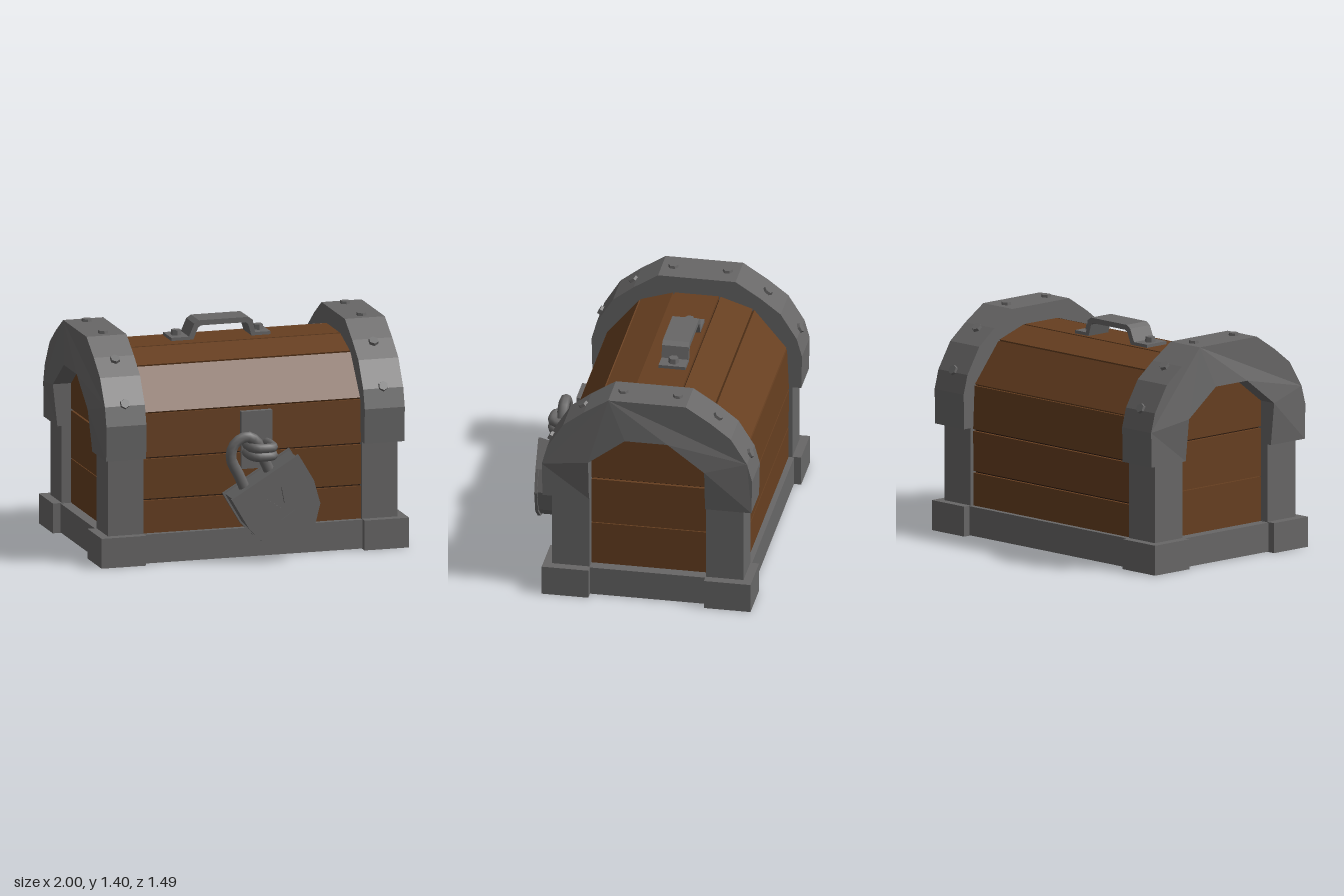
import * as THREE from 'three';

const metal = new THREE.MeshStandardMaterial({ color: 0x686767 });
const wood = new THREE.MeshStandardMaterial({ color: 0x673f20 });
const darkWood = new THREE.MeshStandardMaterial({ color: 0x2c190b });
metal.name = 'iron';
wood.name = 'wood';
darkWood.name = 'dark wood seams';

const CENTER_Z = -0.08;

function add(parent, name, geometry, material) {
  const mesh = new THREE.Mesh(geometry, material);
  mesh.name = name;
  parent.add(mesh);
  return mesh;
}

// Box given by its minimum and maximum corners
function box(parent, name, material, [x0, y0, z0], [x1, y1, z1]) {
  const g = new THREE.BoxGeometry(x1 - x0, y1 - y0, z1 - z0);
  g.translate((x0 + x1) / 2, (y0 + y1) / 2, (z0 + z1) / 2);
  return add(parent, name, g, material);
}

const toShape = pts => new THREE.Shape(pts.map(p => new THREE.Vector2(...p)));

function extrude(shape, depth, offset) {
  const g = new THREE.ExtrudeGeometry(shape, { depth, bevelEnabled: false });
  return g.translate(0, 0, offset);
}

// Depth/height outline swept along x
const sweepX = (pts, x0, x1) => extrude(toShape(pts), x1 - x0, x0).rotateY(Math.PI / 2);

const mirrored = half => [...half, ...half.map(([u, y]) => [-u, y]).reverse()];

// Six-sided bolt head standing along a direction
function bolt(parent, position, direction, radius = 0.036, height = 0.045) {
  const mesh = add(parent, 'bolt', new THREE.CylinderGeometry(radius * 0.85, radius, height, 6).toNonIndexed(), metal);
  mesh.geometry.computeVertexNormals();
  mesh.position.set(...position);
  mesh.quaternion.setFromUnitVectors(new THREE.Vector3(0, 1, 0), new THREE.Vector3(...direction).normalize());
}

function tube(parent, name, points, radius, segments) {
  const curve = new THREE.CatmullRomCurve3(points.map(p => new THREE.Vector3(...p)));
  add(parent, name, new THREE.TubeGeometry(curve, segments, radius, 8), metal);
}

// Wooden planks around the body and the rounded lid
function buildWood(chest) {
  const half = [[0.58, 0.17], [0.58, 0.4], [0.583, 0.665], [0.57, 0.95], [0.36, 1.205], [0.145, 1.275]];
  const core = half.map(([u, y]) => [u - 0.02, y > 1 ? y - 0.02 : y]);
  add(chest, 'core', sweepX(mirrored(core), -0.86, 0.86), darkWood);

  const outline = mirrored(half);
  for (let i = 0; i < outline.length - 1; i++) {
    const a = new THREE.Vector2(...outline[i]);
    const b = new THREE.Vector2(...outline[i + 1]);
    const along = b.clone().sub(a).normalize();
    const inward = new THREE.Vector2(-along.y, along.x).multiplyScalar(0.03);
    a.addScaledVector(along, 0.006);
    b.addScaledVector(along, -0.006);
    const pts = [a, b, b.clone().add(inward), a.clone().add(inward)].map(p => [p.x, p.y]);
    add(chest, 'plank', sweepX(pts, -0.8, 0.8), wood);
  }
}

// One end of the chest, facing +x
function buildEnd(chest, angle) {
  const end = new THREE.Group();
  end.name = 'chestEnd';
  end.rotation.y = angle;
  chest.add(end);

  // Arched iron band, its opening pushed slightly outward
  const outer = [[0.66, 0.68], [0.665, 0.9], [0.632, 1.02], [0.53, 1.185], [0.4, 1.285], [0.245, 1.385]];
  const inner = [[0.367, 0.68], [0.367, 0.95], [0.135, 1.125]];
  const arch = sweepX([...mirrored(outer), ...mirrored(inner).reverse()], 0.71, 0.97);
  const p = arch.attributes.position;
  for (let i = 0; i < p.count; i++) {
    if (p.getX(i) > 0.9 && Math.abs(p.getZ(i)) < 0.38 && p.getY(i) > 0.9 && p.getY(i) < 1.2) p.setX(i, 1);
  }
  arch.computeVertexNormals();
  add(end, 'lidBand', arch, metal);

  // Corner posts and boots, with bolts on the band
  for (const s of [-1, 1]) {
    const span = (a, b) => [Math.min(s * a, s * b), Math.max(s * a, s * b)];
    const [p0, p1] = span(0.367, 0.605);
    box(end, 'cornerPost', metal, [0.71, 0.15, p0], [0.942, 0.7, p1]);
    const [b0, b1] = span(0.365, 0.66);
    box(end, 'cornerBoot', metal, [0.71, 0, b0], [1, 0.19, b1]);
    bolt(end, [0.84, 1.028, s * 0.62], [0, 0.55, s]);
    bolt(end, [0.84, 1.265, s * 0.42], [0, 1, s * 0.7]);
    bolt(end, [0.84, 1.38, s * 0.172], [0, 1, 0]);
  }

  // End planks
  for (const [y0, y1] of [[0.17, 0.468], [0.473, 0.775], [0.787, 1.17]]) {
    box(end, 'endPlank', wood, [0.84, y0, -0.4], [0.88, y1, 0.4]);
  }
}

function buildHandle(chest) {
  const handle = new THREE.Group();
  handle.name = 'handle';
  handle.position.z = -0.03;
  chest.add(handle);
  const profile = [
    [-0.36, 1.265], [-0.36, 1.295], [-0.245, 1.295], [-0.21, 1.375], [-0.18, 1.395], [0.14, 1.395],
    [0.17, 1.375], [0.185, 1.295], [0.285, 1.295], [0.285, 1.265], [0.165, 1.265], [0.14, 1.35],
    [0.125, 1.362], [-0.165, 1.362], [-0.185, 1.35], [-0.22, 1.265],
  ];
  add(handle, 'grip', extrude(toShape(profile), 0.17, -0.085), metal);
  for (const x of [-0.303, 0.23]) bolt(handle, [x, 1.305, 0], [0, 1, 0]);
}

function buildLock(group) {
  const lock = new THREE.Group();
  lock.name = 'padlock';
  group.add(lock);

  // Hasp plate and staple loops
  box(lock, 'haspPlate', metal, [-0.073, 0.56, 0.48], [0.127, 0.925, 0.525]);
  for (const y of [0.72, 0.668]) {
    tube(lock, 'staple', [
      [-0.04, y, 0.49], [-0.045, y, 0.6], [-0.035, y, 0.675], [0.025, y, 0.69],
      [0.085, y, 0.675], [0.095, y, 0.6], [0.09, y, 0.49],
    ], 0.03, 18);
  }
  tube(lock, 'shackle', [
    [-0.08, 0.45, 0.635], [-0.125, 0.55, 0.635], [-0.175, 0.66, 0.635], [-0.155, 0.745, 0.635],
    [-0.075, 0.79, 0.635], [-0.01, 0.755, 0.635], [0.03, 0.66, 0.635], [0.08, 0.55, 0.635],
  ], 0.035, 20);

  // Shield-shaped case: inset middle between two cover plates
  const pts = [
    [-0.205, 0.42], [-0.09, 0.225], [-0.01, 0.145], [0.13, 0.11], [0.25, 0.14],
    [0.335, 0.215], [0.372, 0.36], [0.33, 0.51], [0.23, 0.68],
  ];
  const inset = pts.map(([x, y]) => [0.09 + (x - 0.09) * 0.95, 0.38 + (y - 0.38) * 0.95]);
  add(lock, 'lockCase', extrude(toShape(inset), 0.18, 0.55), metal);
  add(lock, 'backPlate', extrude(toShape(pts), 0.018, 0.537), metal);
  const front = toShape(pts);
  front.holes.push(toShape([[0.02, 0.41], [0.12, 0.48], [0.14, 0.375], [0.21, 0.33], [0.12, 0.27], [0.115, 0.35]]));
  add(lock, 'frontPlate', extrude(front, 0.018, 0.727), metal);
}

export function createModel() {
  const group = new THREE.Group();
  group.name = 'treasureChest';
  const chest = new THREE.Group();
  chest.name = 'chest';
  chest.position.z = CENTER_Z;
  group.add(chest);

  box(chest, 'baseRail', metal, [-0.95, 0.003, -0.615], [0.95, 0.187, 0.615]);
  buildWood(chest);
  buildEnd(chest, 0);
  buildEnd(chest, Math.PI);
  buildHandle(chest);
  buildLock(group);
  return group;
}
